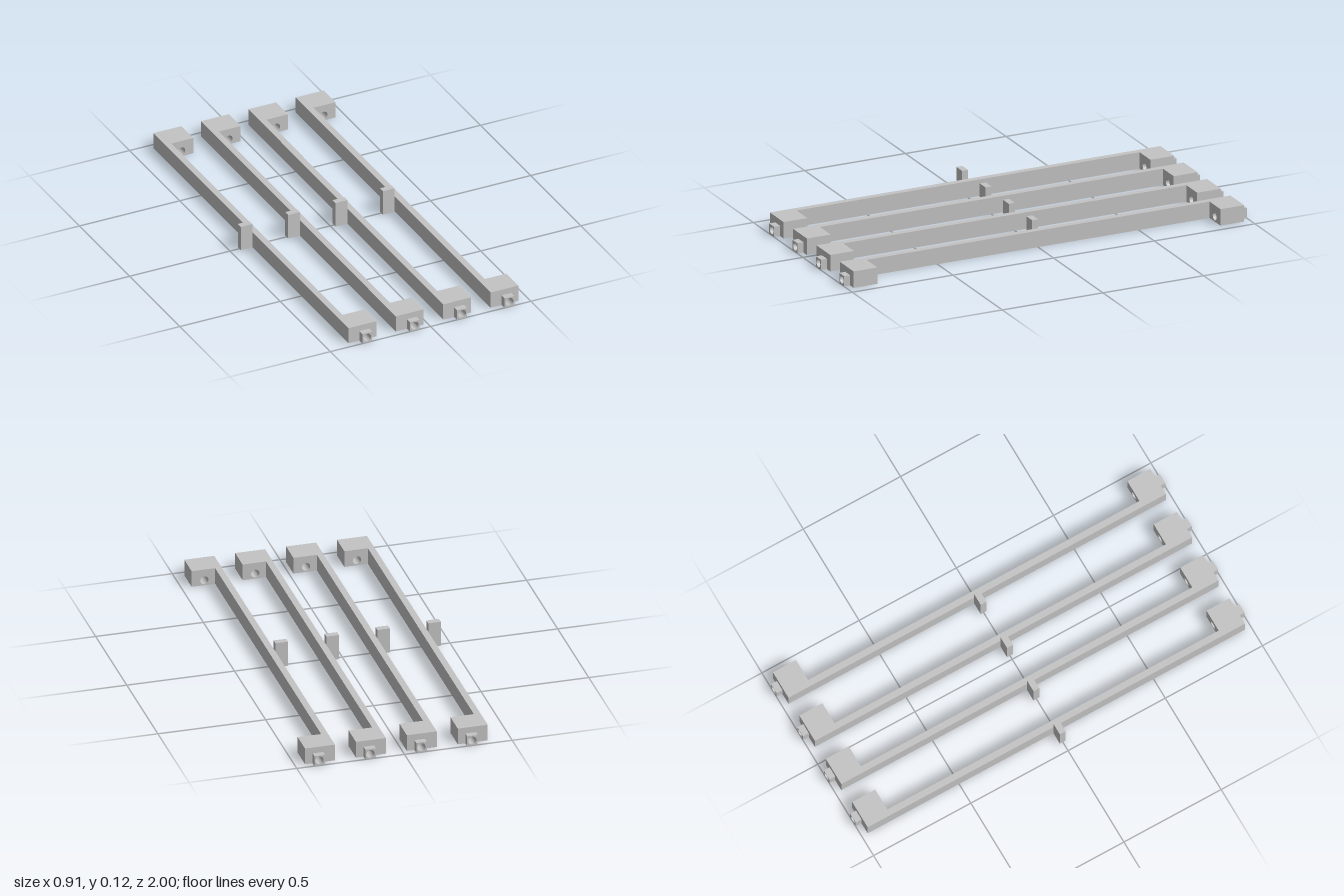
import * as THREE from 'three';

const grey = new THREE.MeshStandardMaterial({ color: 0xc4c4c4 });
grey.name = 'light grey';

// Box given by its limits on each axis
function box(name, x0, x1, y0, y1, z0, z1) {
  const geo = new THREE.BoxGeometry(x1 - x0, y1 - y0, z1 - z0);
  geo.translate((x0 + x1) / 2, (y0 + y1) / 2, (z0 + z1) / 2);
  const mesh = new THREE.Mesh(geo, grey);
  mesh.name = name;
  return mesh;
}

// Rectangular block with the round bore running through it along z
const BORE = { x: 0.08, y: 0.025, r: 0.019 };
function boredBlock(name, x0, x1, y1, z0, z1) {
  const shape = new THREE.Shape([
    new THREE.Vector2(x0, 0), new THREE.Vector2(x1, 0),
    new THREE.Vector2(x1, y1), new THREE.Vector2(x0, y1),
  ]);
  const hole = new THREE.Path();
  hole.absarc(BORE.x, BORE.y, BORE.r, 0, Math.PI * 2, true);
  shape.holes.push(hole);
  const geo = new THREE.ExtrudeGeometry(shape, { depth: z1 - z0, bevelEnabled: false, curveSegments: 16 });
  geo.translate(0, 0, z0);
  const mesh = new THREE.Mesh(geo, grey);
  mesh.name = name;
  return mesh;
}

// One rail; x = 0 is the outer face of its long bar
function createRail() {
  const rail = new THREE.Group();
  // Long bar between the end blocks, flush with their outer sides
  rail.add(box('longBar', 0, 0.03, 0, 0.078, -0.852, 0.852));
  rail.add(box('middleTab', -0.058, 0, 0, 0.12, -0.015, 0.015));
  // End blocks and their nubs, front and back
  rail.add(boredBlock('frontEndBlock', 0, 0.139, 0.078, 0.852, 0.97));
  rail.add(boredBlock('backEndBlock', 0, 0.139, 0.078, -0.97, -0.852));
  rail.add(boredBlock('frontNub', 0.055, 0.104, 0.049, 0.97, 1));
  rail.add(boredBlock('backNub', 0.055, 0.104, 0.049, -1, -0.97));
  return rail;
}

export function createModel() {
  const model = new THREE.Group();
  model.name = 'railSet';
  // Four equal rails side by side
  for (let i = 0; i < 4; i++) {
    const rail = createRail();
    rail.name = `rail${i + 1}`;
    rail.position.x = -0.395 + i * 0.2363;
    model.add(rail);
  }
  return model;
}
